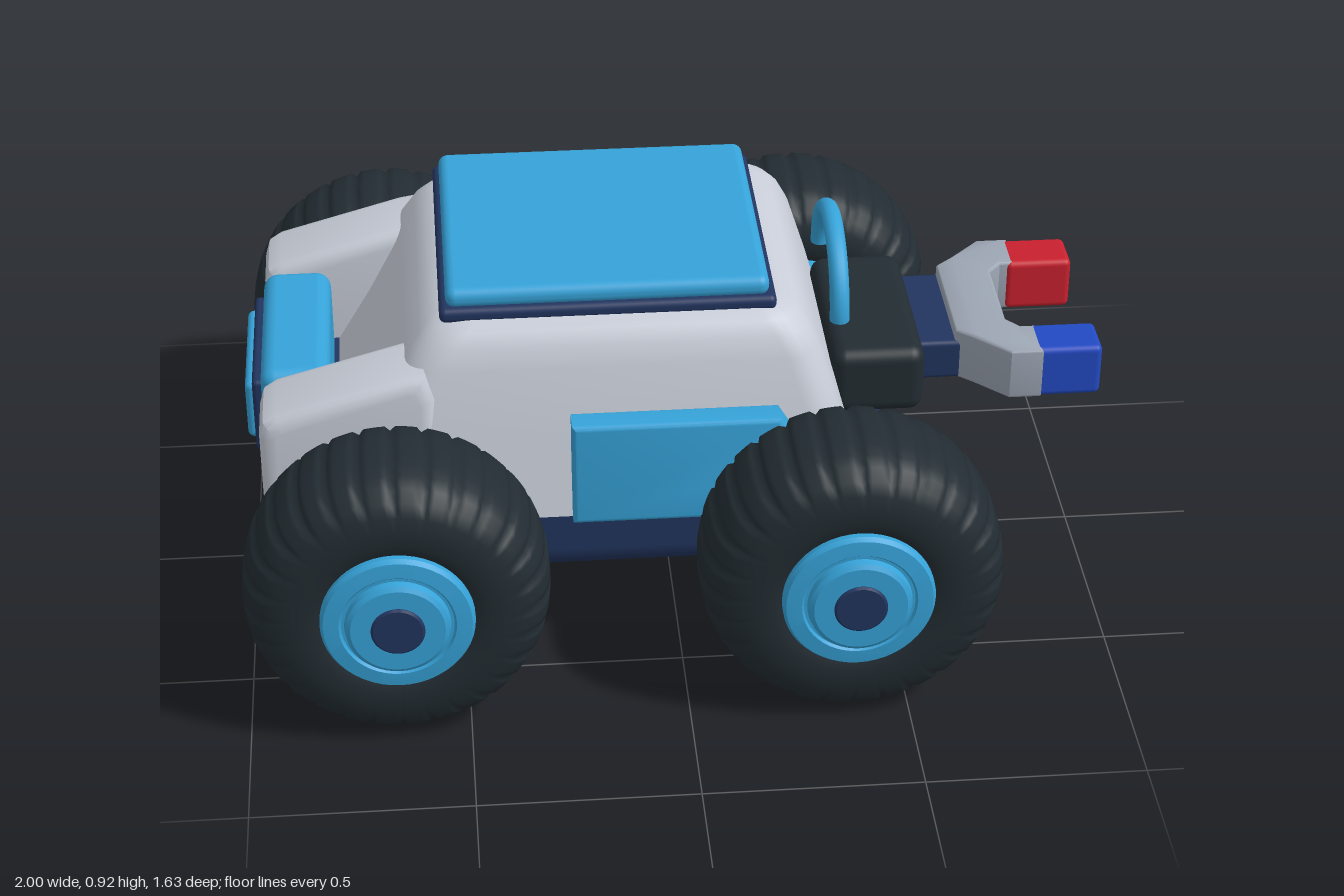
import * as THREE from 'three';
import { toCreasedNormals } from 'three/addons/utils/BufferGeometryUtils.js';
import { RoundedBoxGeometry } from 'three/addons/geometries/RoundedBoxGeometry.js';

const colour = (name, color) => {
  const m = new THREE.MeshStandardMaterial({ color });
  m.name = name;
  return m;
};
const V2 = (list) => list.map(([x, y]) => new THREE.Vector2(x, y));

export function createModel() {
  const shell = colour('shell grey', 0xc8cdd8);
  const cyan = colour('sky blue', 0x36a3d9);
  const navy = colour('navy', 0x22355f);
  const black = colour('rubber black', 0x222c32);
  const steel = colour('steel grey', 0x9ca5b3);
  const red = colour('red', 0xc9202e);
  const blue = colour('blue', 0x2249c2);

  const root = new THREE.Group();
  root.name = 'rover';
  const add = (name, geo, mat, parent = root) => {
    const m = new THREE.Mesh(geo, mat);
    m.name = name;
    parent.add(m);
    return m;
  };
  // Rounded box given by its limits on each axis
  const box = (name, mat, [x0, x1], [y0, y1], [z0, z1], r) => {
    const m = add(name, new RoundedBoxGeometry(x1 - x0, y1 - y0, z1 - z0, 4, r), mat);
    m.position.set((x0 + x1) / 2, (y0 + y1) / 2, (z0 + z1) / 2);
    return m;
  };
  // Bevelled extrusion centred on z = 0, with outer size matching the outline
  const slab = (points, depth, bevel) => {
    const geo = new THREE.ExtrudeGeometry(new THREE.Shape(V2(points)), {
      depth: depth - 2 * bevel, bevelThickness: bevel, bevelSize: bevel, bevelOffset: -bevel, bevelSegments: 4,
    });
    geo.translate(0, 0, bevel - depth / 2);
    return toCreasedNormals(geo, 0.6);
  };

  box('chassis', navy, [-0.92, 0.52], [0.19, 0.47], [-0.4, 0.4], 0.07);

  // Cabin: loft of rounded rectangles [y, xBack, xFront, halfWidth, cornerRadius]
  const rings = [
    [0.4, -0.82, 0.43, 0.47, 0.08], [0.6, -0.7, 0.375, 0.438, 0.08], [0.76, -0.615, 0.325, 0.408, 0.08],
    [0.81, -0.583, 0.3, 0.393, 0.08], [0.84, -0.555, 0.275, 0.373, 0.08], [0.857, -0.525, 0.245, 0.347, 0.07],
    [0.863, -0.49, 0.21, 0.31, 0.06],
  ];
  const pos = [], idx = [], steps = 6, n = 4 * (steps + 1);
  for (const [y, x0, x1, hz, r] of rings) {
    for (let c = 0; c < 4; c++) {
      const cx = c === 0 || c === 3 ? x1 - r : x0 + r;
      const cz = c < 2 ? hz - r : r - hz;
      for (let s = 0; s <= steps; s++) {
        const a = (c + s / steps) * Math.PI / 2;
        pos.push(cx + r * Math.cos(a), y, cz + r * Math.sin(a));
      }
    }
  }
  for (let k = 0; k < rings.length - 1; k++) {
    for (let i = 0; i < n; i++) {
      const a = k * n + i, b = k * n + (i + 1) % n;
      idx.push(a, a + n, b, b, a + n, b + n);
    }
  }
  const top = (rings.length - 1) * n;
  for (let i = 1; i < n - 1; i++) {
    idx.push(0, i, i + 1, top, top + i + 1, top + i);
  }
  const cabin = new THREE.BufferGeometry();
  cabin.setAttribute('position', new THREE.Float32BufferAttribute(pos, 3));
  cabin.setIndex(idx);
  add('cabin', toCreasedNormals(cabin, 0.7), shell);

  // Roof
  box('roofTrim', navy, [-0.535, 0.225], [0.848, 0.884], [-0.345, 0.345], 0.015);
  box('roofPanel', cyan, [-0.52, 0.21], [0.874, 0.924], [-0.33, 0.33], 0.023);

  // Rear fenders and side panels
  const fender = slab([[-0.95, 0.42], [-0.55, 0.42], [-0.55, 0.7], [-0.575, 0.765], [-0.62, 0.757],
    [-0.91, 0.675], [-0.94, 0.655], [-0.95, 0.62]], 0.2, 0.035);
  const panel = slab([[-0.25, 0.4], [0.29, 0.4], [0.285, 0.55], [0.22, 0.66], [-0.25, 0.66]], 0.07, 0.012);
  for (const [side, s] of [['left', 1], ['right', -1]]) {
    add(side + 'Fender', fender, shell).position.z = 0.34 * s;
    add(side + 'SidePanel', panel, cyan).position.z = 0.47 * s;
  }

  // Tail box with framed screen
  box('tailBox', cyan, [-0.95, -0.79], [0.38, 0.67], [-0.24, 0.24], 0.035);
  box('screenFrame', navy, [-0.972, -0.93], [0.435, 0.625], [-0.195, 0.195], 0.012);
  box('screen', cyan, [-0.99, -0.95], [0.455, 0.605], [-0.17, 0.17], 0.015);

  // Hoop over the nose
  const hoop = new THREE.Group();
  hoop.name = 'hoop';
  hoop.position.set(0.39, 0.72, 0);
  hoop.rotation.y = Math.PI / 2;
  hoop.scale.y = 0.91;
  root.add(hoop);
  add('hoopTube', new THREE.TorusGeometry(0.185, 0.023, 14, 36, Math.PI), cyan, hoop);
  for (const s of [1, -1]) {
    const cap = add('hoopEnd', new THREE.CircleGeometry(0.023, 14), cyan, hoop);
    cap.position.x = 0.185 * s;
    cap.rotation.x = Math.PI / 2;
  }

  // Gripper
  box('gripperMount', black, [0.37, 0.59], [0.485, 0.655], [-0.235, 0.235], 0.035);
  box('gripperArm', navy, [0.56, 0.69], [0.53, 0.63], [-0.16, 0.16], 0.012);
  const half = [[0.67, 0.15], [0.71, 0.185], [0.785, 0.26], [0.86, 0.26], [0.86, 0.145], [0.825, 0.145], [0.795, 0.11]];
  const claw = add('gripperClaw',
    slab([...half.map(([x, z]) => [x, -z]).reverse(), ...half].reverse(), 0.13, 0.008), steel);
  claw.rotation.x = Math.PI / 2;
  claw.position.y = 0.595;
  box('leftClawTip', blue, [0.84, 1], [0.53, 0.66], [0.14, 0.258], 0.015);
  box('rightClawTip', red, [0.84, 1], [0.53, 0.66], [-0.258, -0.14], 0.015);

  // Tyre: lathe with shallow grooves cut across the tread
  const lugs = 28, cut = 6;
  const half2 = [[0.14, -0.15], [0.18, -0.165], [0.2, -0.172], [0.235, -0.172], [0.27, -0.165], [0.3, -0.15],
    [0.322, -0.125], [0.335, -0.095], [0.342, -0.06], [0.345, -0.025]];
  const profile = [...half2, ...half2.map(([r, y]) => [r, -y]).reverse()];
  const tyre = new THREE.LatheGeometry(V2(profile), lugs * cut);
  const p = tyre.attributes.position;
  for (let i = 0; i < p.count; i++) {
    const column = Math.floor(i / profile.length);
    const r = Math.hypot(p.getX(i), p.getZ(i));
    if (column % cut === 0 && r > 0.28) {
      const k = 1 - 0.012 / r;
      p.setX(i, p.getX(i) * k);
      p.setZ(i, p.getZ(i) * k);
    }
  }
  tyre.computeVertexNormals();
  tyre.rotateX(Math.PI / 2);

  // Hub rings, seen on both faces of the wheel
  const spin = (points) => toCreasedNormals(new THREE.LatheGeometry(V2(points), 48), 0.5).rotateX(Math.PI / 2);
  const hub = spin([[0, -0.2], [0.16, -0.2], [0.172, -0.19], [0.172, 0.175], [0.165, 0.186], [0.13, 0.19],
    [0.125, 0.184], [0.118, 0.184], [0.115, 0.2], [0.105, 0.207], [0, 0.207]]);
  const bolt = spin([[0.06, 0.19], [0.06, 0.209], [0.055, 0.213], [0, 0.213]]);
  for (const [end, x] of [['rear', -0.655], ['front', 0.37]]) {
    for (const [side, s] of [['Left', 1], ['Right', -1]]) {
      const wheel = new THREE.Group();
      wheel.name = end + side + 'Wheel';
      wheel.position.set(x, 0.348, 0.6 * s);
      wheel.rotation.y = s > 0 ? 0 : Math.PI;
      root.add(wheel);
      add('tyre', tyre, black, wheel);
      add('hub', hub, cyan, wheel);
      add('hubCap', bolt, navy, wheel);
    }
  }
  return root;
}
